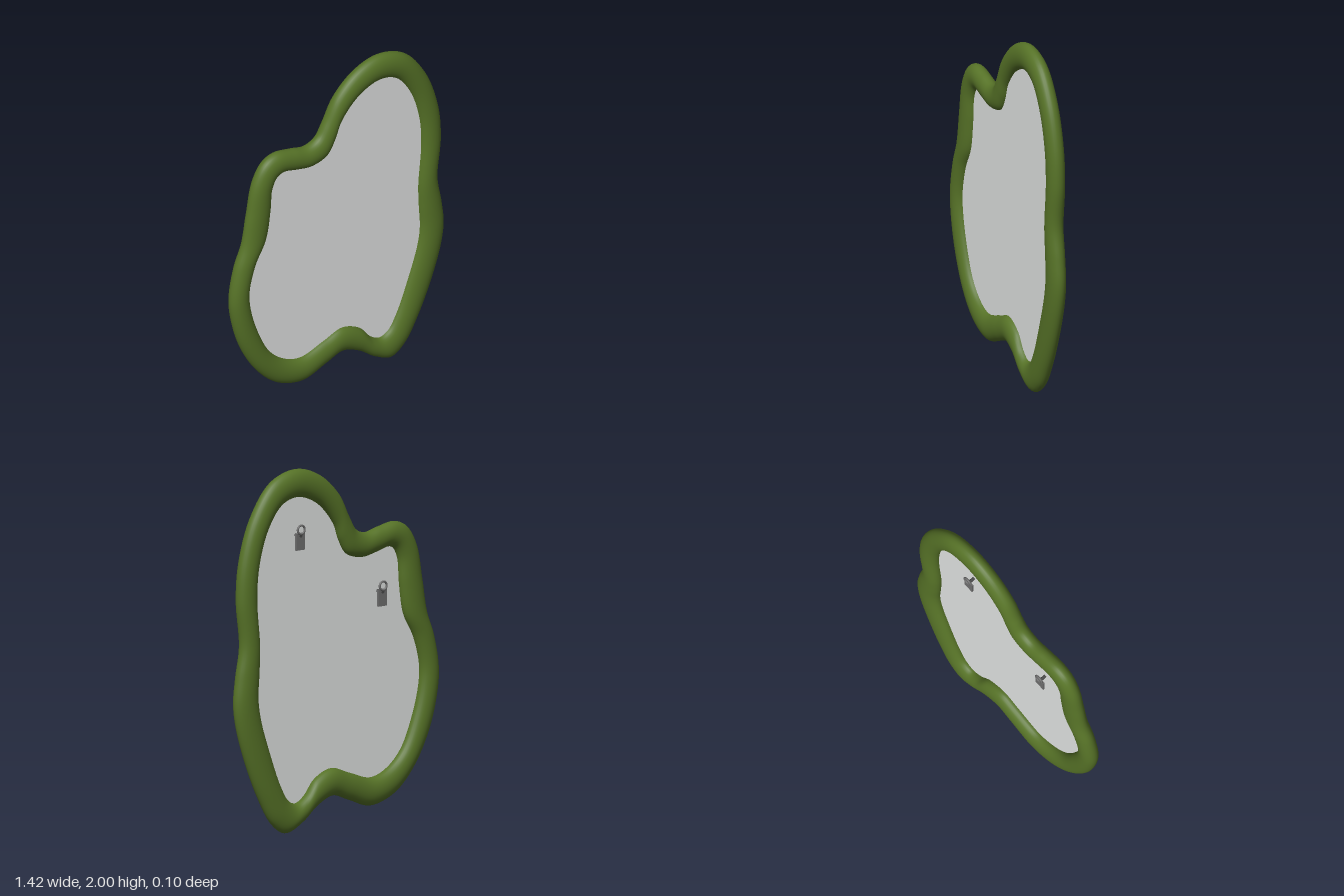
import * as THREE from 'three';

function colour(name, hex) {
  const material = new THREE.MeshStandardMaterial({ color: hex });
  material.name = name;
  return material;
}
const green = colour('olive green', 0x567227);
const silver = colour('silver', 0xe2e4e3);
silver.side = THREE.DoubleSide;
const grey = colour('steel grey', 0x707070);
const darkGrey = colour('dark grey', 0x484848);

// Frame stations, clockwise from the top: outer x, y and inner x, y (hundredths)
const stations = [
  [28, 200, 27, 184.5], [45, 194.6, 39, 181], [59, 176.5, 48.5, 168.5], [67, 153, 54.5, 150],
  [68.9, 131.5, 56, 131.5], [66.6, 106.5, 54, 105], [69.4, 89.5, 54.3, 91.5], [70.9, 75, 55, 77],
  [69, 61, 53.3, 65.5], [62.3, 40, 47, 46], [53.3, 19.8, 39.5, 27], [44.8, 6, 33.8, 18],
  [35.8, 0, 28, 15.6], [25, 4.3, 22, 18.8], [14, 12.5, 14.6, 27.3], [2.5, 16.9, 3, 32],
  [-8.8, 13.2, -8.8, 28.3], [-23.6, 8.2, -24.5, 23.6], [-40, 13, -35.2, 26.8], [-53.8, 26.2, -45.8, 36.3],
  [-65.2, 47, -54.8, 56], [-70.8, 69, -58.9, 73], [-71.2, 80.5, -58.9, 83], [-68, 97.5, -54.8, 97.8],
  [-63.2, 111, -47.9, 111], [-60, 129, -45, 128], [-56, 148.5, -43.7, 142.5], [-49.5, 159.4, -40.5, 148.3],
  [-41.5, 163, -36.2, 149.6], [-30, 161.3, -27.2, 147.5], [-20.4, 159.3, -17.8, 146], [-13.5, 162.2, -7.7, 149],
  [-8.5, 170, -2.4, 157.2], [-0.8, 184, 1.3, 166.7], [12.5, 195.5, 12.5, 179],
];

const loop = (k) => new THREE.CatmullRomCurve3(
  stations.map((s) => new THREE.Vector3(s[k] / 100, s[k + 1] / 100, 0)), true, 'centripetal');

// Oval cross-section swept between the outer and inner outlines
function frameGeometry(outer, inner, depth, rings = 280, sides = 28) {
  const pos = [], index = [];
  for (let i = 0; i < rings; i++) {
    const o = outer.getPoint(i / rings), n = inner.getPoint(i / rings);
    const centre = o.clone().add(n).multiplyScalar(0.5);
    const half = o.clone().sub(n).multiplyScalar(0.5);
    for (let j = 0; j < sides; j++) {
      const a = (j / sides) * Math.PI * 2;
      const p = centre.clone().addScaledVector(half, Math.cos(a));
      pos.push(p.x, p.y, depth * Math.sin(a));
      const i2 = (i + 1) % rings, j2 = (j + 1) % sides;
      const A = i * sides + j, B = i * sides + j2, C = i2 * sides + j, D = i2 * sides + j2;
      index.push(A, B, C, B, D, C);
    }
  }
  const g = new THREE.BufferGeometry();
  g.setAttribute('position', new THREE.Float32BufferAttribute(pos, 3));
  g.setIndex(index);
  g.computeVertexNormals();
  return g;
}

function add(parent, name, geometry, material, x = 0, y = 0, z = 0) {
  const mesh = new THREE.Mesh(geometry, material);
  mesh.name = name;
  mesh.position.set(x, y, z);
  parent.add(mesh);
  return mesh;
}

// Hanging plate on a pin, with a ring on top
function hanger(x, y) {
  const g = new THREE.Group();
  g.name = 'hanger';
  add(g, 'hangerPlate', new THREE.BoxGeometry(0.062, 0.094, 0.01), grey, 0, -0.024, -0.033);
  add(g, 'hangerRing', new THREE.TorusGeometry(0.024, 0.006, 10, 28), grey, 0, 0.042, -0.042);
  const pin = add(g, 'hangerPin', new THREE.CylinderGeometry(0.009, 0.009, 0.046, 16), darkGrey, 0, 0.008, -0.018);
  pin.rotation.x = Math.PI / 2;
  g.position.set(x, y, 0);
  return g;
}

export function createModel() {
  const model = new THREE.Group();
  model.name = 'wallMirror';
  const outer = loop(0), inner = loop(2);
  add(model, 'frame', frameGeometry(outer, inner, 0.05), green);

  // Thin mirror panel, its edge hidden inside the frame
  const edge = [];
  for (let i = 0; i < 200; i++) {
    const p = inner.getPoint(i / 200).lerp(outer.getPoint(i / 200), 0.3);
    edge.push(new THREE.Vector2(p.x, p.y));
  }
  add(model, 'mirrorPanel', new THREE.ShapeGeometry(new THREE.Shape(edge)), silver, 0, 0, 0.008);

  model.add(hanger(0.275, 1.628), hanger(-0.3, 1.25));
  return model;
}
